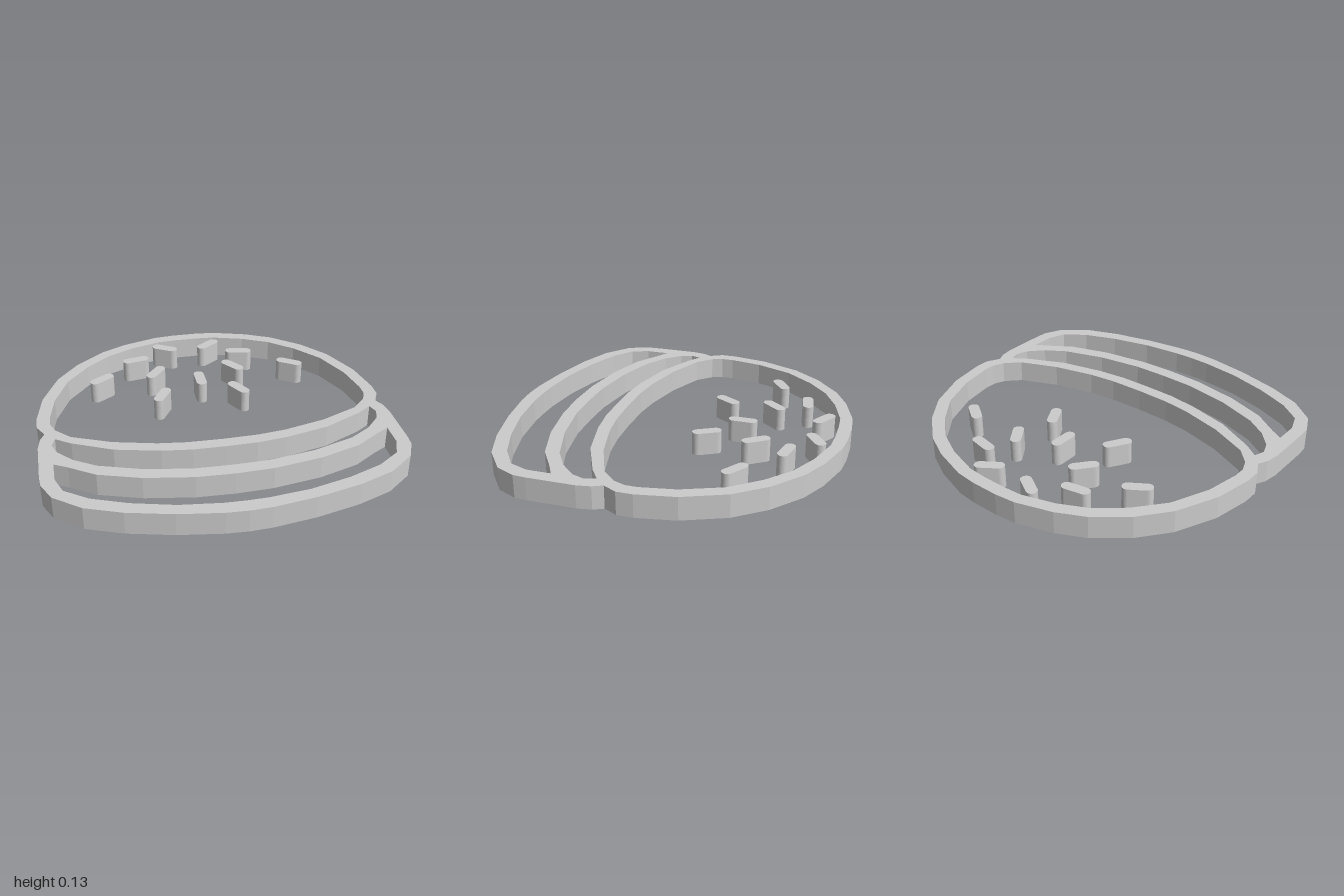
import * as THREE from 'three';

const HEIGHT = 0.13;
const material = new THREE.MeshStandardMaterial({ color: 0xcccccc, flatShading: true });

// Mirrors a right-hand half profile [x, z] (back to front) into a closed anticlockwise loop.
function mirrored(half) {
  const left = half.filter(([x]) => x > 0).map(([x, z]) => [-x, z]).reverse();
  return [...half, ...left].map(([x, z]) => new THREE.Vector2(x, -z)).reverse();
}

// Extrudes a plan shape upwards from the ground.
function plate(shape, name) {
  const geometry = new THREE.ExtrudeGeometry(shape, {
    depth: HEIGHT, bevelEnabled: false, curveSegments: 8,
  });
  geometry.rotateX(-Math.PI / 2);
  const mesh = new THREE.Mesh(geometry, material);
  mesh.name = name;
  return mesh;
}

// Round-ended bar centred on the origin, long side along x.
function capsuleShape(half, r) {
  const s = new THREE.Shape();
  s.moveTo(-half, -r);
  s.lineTo(half, -r);
  s.absarc(half, 0, r, -Math.PI / 2, Math.PI / 2, false);
  s.lineTo(-half, r);
  s.absarc(-half, 0, r, Math.PI / 2, Math.PI * 1.5, false);
  return s;
}

export function createModel() {
  const model = new THREE.Group();
  model.name = 'burgerCutter';

  // Outer silhouette with a notch where the top bun meets the filling
  const outline = [
    [0, -0.972], [0.08, -0.972], [0.2, -0.96], [0.405, -0.897], [0.56, -0.82], [0.73, -0.68],
    [0.86, -0.515], [0.96, -0.285], [1, -0.07], [1, 0.02], [0.96, 0.095], [0.987, 0.15],
    [1, 0.23], [1, 0.5], [0.995, 0.57], [0.945, 0.68], [0.8, 0.795], [0.605, 0.87],
    [0.36, 0.93], [0.12, 0.966], [0, 0.972],
  ];
  // Openings: top bun, filling, bottom bun
  const openings = [
    [[0, -0.9], [0.07, -0.9], [0.18, -0.893], [0.37, -0.835], [0.53, -0.755], [0.67, -0.635],
      [0.8, -0.475], [0.89, -0.26], [0.925, -0.07], [0.925, 0], [0.9, 0.065], [0.82, 0.148],
      [0.6, 0.243], [0.36, 0.303], [0.2, 0.323], [0, 0.328]],
    [[0, 0.402], [0.18, 0.399], [0.35, 0.378], [0.6, 0.318], [0.82, 0.213], [0.905, 0.155],
      [0.925, 0.215], [0.9, 0.285], [0.82, 0.373], [0.7, 0.45], [0.46, 0.53],
      [0.2, 0.573], [0, 0.578]],
    [[0, 0.658], [0.21, 0.65], [0.48, 0.605], [0.71, 0.53], [0.85, 0.437], [0.923, 0.395],
      [0.923, 0.53], [0.885, 0.635], [0.76, 0.725], [0.57, 0.8], [0.34, 0.86],
      [0.115, 0.887], [0, 0.89]],
  ];
  const frame = new THREE.Shape(mirrored(outline));
  frame.holes = openings.map((half) => new THREE.Path(mirrored(half)));
  model.add(plate(frame, 'bunFrame'));

  // Sesame seeds: x, z, then direction of the long side in x, z
  const seeds = [
    [-0.155, -0.805, 45, 26], [0.13, -0.806, 43, -30],
    [-0.36, -0.678, 53, -10], [0.308, -0.678, 53, 10],
    [-0.594, -0.469, 45, -30], [0.594, -0.469, 45, 30],
    [-0.257, -0.495, 34, -42], [0.23, -0.495, 30, 42],
    [0, -0.367, 0, 53],
    [-0.257, -0.212, 28, -47], [0.207, -0.212, 26, 47],
  ];
  const sesameSeeds = new THREE.Group();
  sesameSeeds.name = 'sesameSeeds';
  const seedShape = capsuleShape(0.052, 0.031);
  seeds.forEach(([x, z, dx, dz], i) => {
    const seed = plate(seedShape, `seed${i + 1}`);
    seed.position.set(x, 0, z);
    seed.rotation.y = Math.atan2(-dz, dx);
    sesameSeeds.add(seed);
  });
  model.add(sesameSeeds);
  return model;
}
